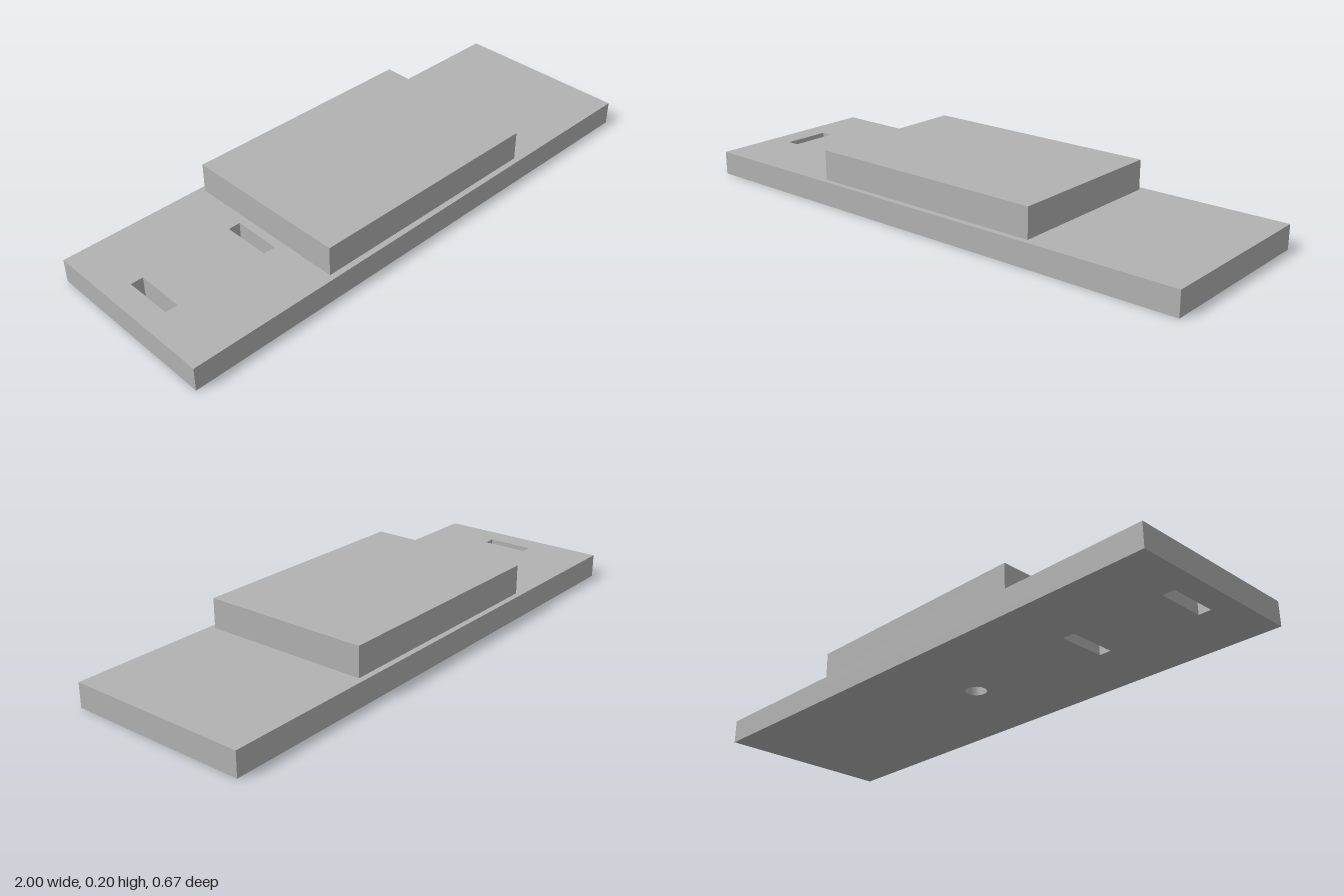
import * as THREE from 'three';

const BASE_HEIGHT = 0.087;
const BLOCK_TOP = 0.195;

// Counter-clockwise rectangle traced onto a shape or hole path
function rect(path, cx, cy, w, h) {
  path.moveTo(cx - w / 2, cy - h / 2);
  path.lineTo(cx + w / 2, cy - h / 2);
  path.lineTo(cx + w / 2, cy + h / 2);
  path.lineTo(cx - w / 2, cy + h / 2);
  path.closePath();
  return path;
}

export function createModel() {
  const group = new THREE.Group();
  group.name = 'slottedPlate';

  const grey = new THREE.MeshStandardMaterial({ color: 0xb2b2b2 });
  grey.name = 'grey';

  // Base plate with two slots on one side and a round centre hole underneath
  const outline = rect(new THREE.Shape(), 0, 0, 2, 0.667);
  for (const x of [-0.893, -0.506]) {
    outline.holes.push(rect(new THREE.Path(), x, 0, 0.045, 0.177));
  }
  outline.holes.push(new THREE.Path().absarc(0, 0, 0.037, 0, Math.PI * 2, true));

  const baseGeometry = new THREE.ExtrudeGeometry(outline, {
    depth: BASE_HEIGHT, bevelEnabled: false, curveSegments: 32,
  });
  baseGeometry.rotateX(-Math.PI / 2);
  const base = new THREE.Mesh(baseGeometry, grey);
  base.name = 'basePlate';
  group.add(base);

  // Raised block, which closes the top of the centre hole
  const height = BLOCK_TOP - BASE_HEIGHT;
  const block = new THREE.Mesh(new THREE.BoxGeometry(0.904, height, 0.624), grey);
  block.name = 'raisedBlock';
  block.position.y = BASE_HEIGHT + height / 2;
  group.add(block);

  return group;
}
